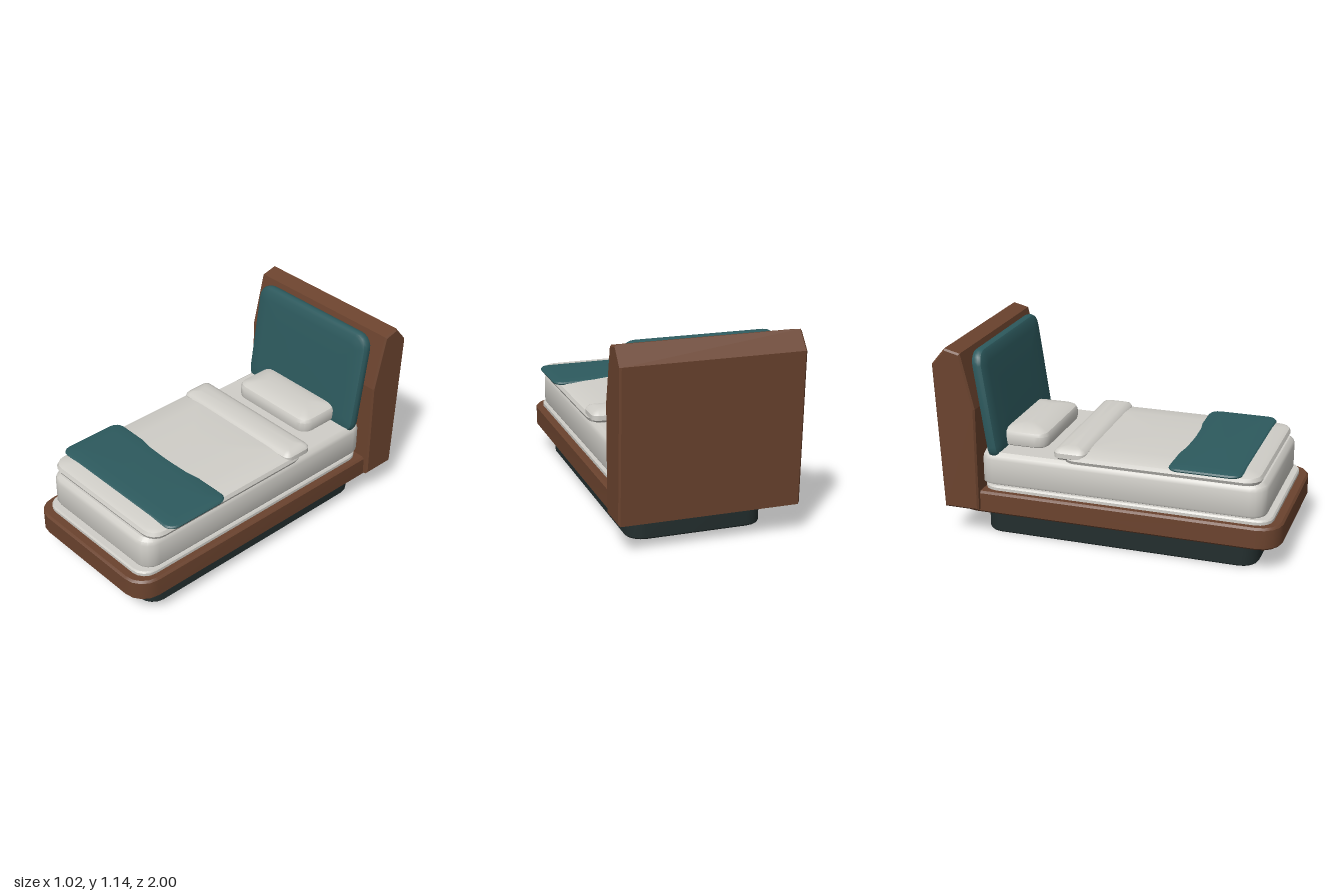
import * as THREE from 'three';
import { toCreasedNormals } from 'three/addons/utils/BufferGeometryUtils.js';

const material = (name, color) => {
  const m = new THREE.MeshStandardMaterial({ color });
  m.name = name;
  return m;
};

// Rounded rectangle outline in the xz plane
function ring(halfW, halfD, r, steps) {
  const pts = [];
  const signs = [[1, 1], [-1, 1], [-1, -1], [1, -1]];
  signs.forEach(([sx, sz], q) => {
    for (let i = 0; i <= steps; i++) {
      const t = (q + i / steps) * Math.PI / 2;
      pts.push([sx * (halfW - r) + r * Math.cos(t), sz * (halfD - r) + r * Math.sin(t)]);
    }
  });
  return pts;
}

// Closed rounded slab: profile lists [inset, y] from bottom to top
function slab(w, d, r, profile, steps = 4, crease = 0.6) {
  const pos = [], idx = [], n = 4 * (steps + 1);
  for (const [inset, y] of profile) {
    const pts = ring(w / 2 - inset, d / 2 - inset, Math.max(r - inset, r * 0.35), steps);
    for (const [x, z] of pts) pos.push(x, y, z);
  }
  const last = (profile.length - 1) * n, bottom = profile.length * n, top = bottom + 1;
  pos.push(0, profile[0][1], 0, 0, profile[profile.length - 1][1], 0);
  for (let j = 0; j < n; j++) {
    const k = (j + 1) % n;
    for (let i = 0; i < last; i += n) {
      idx.push(i + j, i + n + j, i + k, i + k, i + n + j, i + n + k);
    }
    idx.push(bottom, j, k, top, last + k, last + j);
  }
  const g = new THREE.BufferGeometry();
  g.setAttribute('position', new THREE.Float32BufferAttribute(pos, 3));
  g.setIndex(idx);
  return toCreasedNormals(g, crease);
}

export function createModel() {
  const bed = new THREE.Group();
  bed.name = 'bed';
  const wood = material('walnut wood', 0x6b432e);
  const teal = material('teal fabric', 0x2d5a5e);
  const linen = material('pale linen', 0xd0cec8);
  const dark = material('dark plinth', 0x232e2e);

  const add = (name, geometry, mat, z = 0) => {
    const mesh = new THREE.Mesh(geometry, mat);
    mesh.name = name;
    mesh.position.z = z;
    bed.add(mesh);
    return mesh;
  };

  // Plinth and wooden platform
  add('plinth', slab(0.78, 1.625, 0.1, [[0.006, 0], [0, 0.008], [0, 0.16]]), dark, 0.047);
  add('platform', slab(0.96, 1.91, 0.13,
    [[0.012, 0.153], [0, 0.165], [0, 0.273], [0.012, 0.285]]), wood, 0.045);

  // Headboard: side profile (z, y) extruded across the width
  const side = new THREE.Shape([
    [-0.76, 0.185], [-0.76, 0.79], [-0.835, 1.105], [-0.915, 1.125],
    [-0.99, 1.035], [-0.95, 0.185],
  ].map(([z, y]) => new THREE.Vector2(-z, y)));
  const board = new THREE.ExtrudeGeometry(side, {
    depth: 1, bevelEnabled: true, bevelThickness: 0.01, bevelSize: 0.01, bevelSegments: 1,
  });
  board.translate(0, 0, -0.5).rotateY(Math.PI / 2);
  add('headboard', board, wood);

  // Upholstered panel leaning on the headboard
  const panel = add('headboardPanel', slab(0.88, 0.655, 0.085, [
    [0.025, -0.035], [0.006, -0.028], [0, -0.012], [0, 0.008], [0.008, 0.022], [0.025, 0.03],
    [0.08, 0.034], [0.2, 0.036],
  ], 5), teal, -0.72);
  panel.position.y = 0.785;
  panel.rotation.x = Math.PI / 2 - 0.145;

  // Mattress on its thin base pad
  add('basePad', slab(0.88, 1.7, 0.09, [[0, 0.28], [0, 0.302], [0.008, 0.312]]), linen, 0.095);
  add('mattress', slab(0.87, 1.69, 0.09, [
    [0.025, 0.31], [0.006, 0.32], [0, 0.333], [0, 0.47], [0.008, 0.492], [0.03, 0.51],
  ]), linen, 0.065);

  // Duvet with a soft crown, and its turned-back fold
  add('duvet', slab(0.91, 1.15, 0.09, [
    [0.035, 0.505], [0.01, 0.512], [0, 0.532], [0.01, 0.553], [0.035, 0.563],
    [0.15, 0.572], [0.3, 0.577], [0.42, 0.578],
  ]), linen, 0.305);
  add('duvetFold', slab(0.9, 0.19, 0.04, [
    [0.02, 0.525], [0, 0.54], [0, 0.568], [0.012, 0.583], [0.035, 0.593], [0.07, 0.598],
  ]), linen, -0.215);

  // Pillow
  add('pillow', slab(0.59, 0.3, 0.07, [
    [0.025, 0.505], [0.004, 0.518], [0, 0.535], [0, 0.578], [0.01, 0.597],
    [0.035, 0.61], [0.09, 0.622], [0.13, 0.625],
  ]), linen, -0.56);

  // Throw across the foot end
  add('footThrow', slab(0.97, 0.415, 0.06, [
    [0.02, 0.554], [0.003, 0.559], [0, 0.566], [0.008, 0.574], [0.03, 0.578], [0.08, 0.581],
  ]), teal, 0.573);

  return bed;
}
